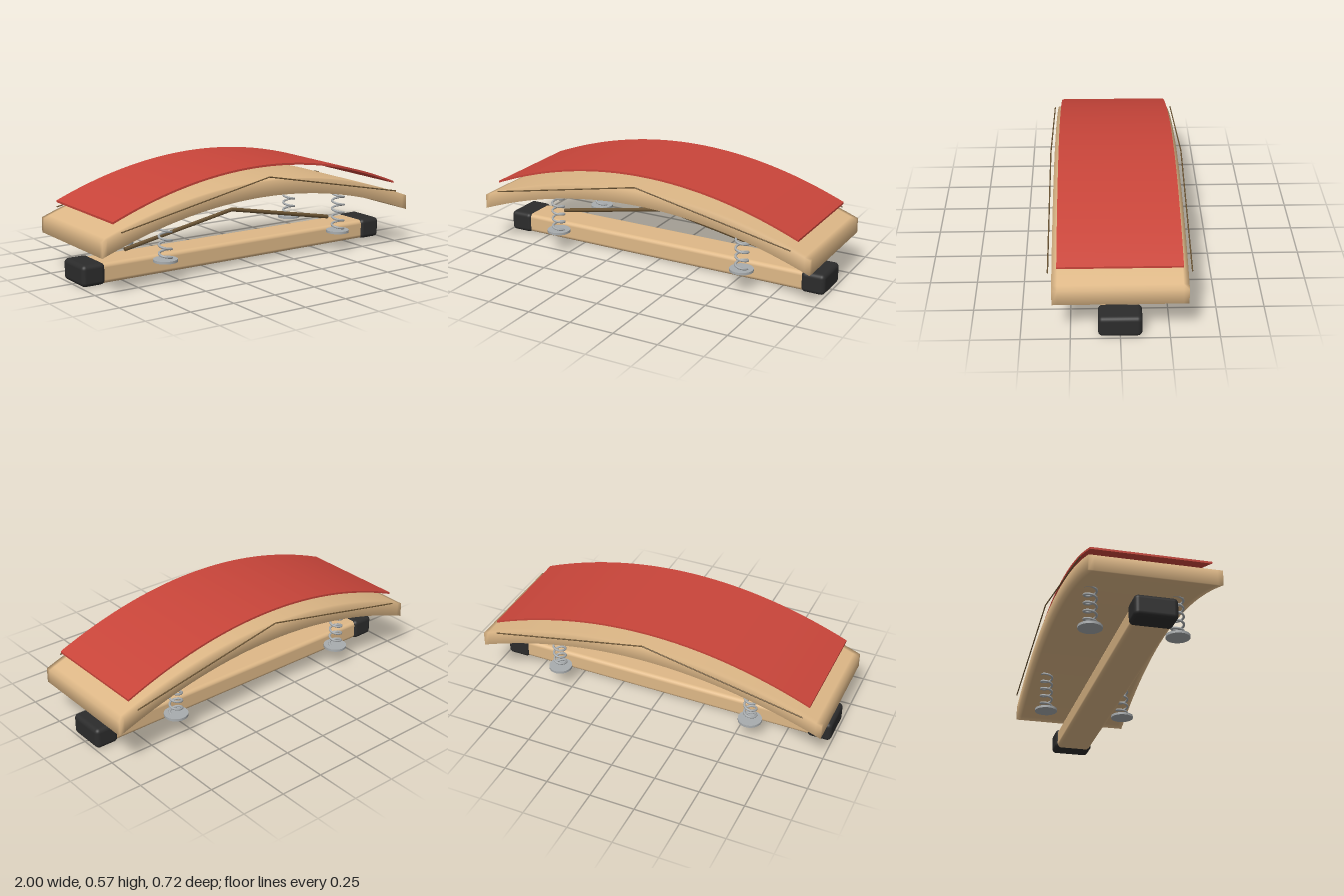
import * as THREE from 'three';
import { mergeVertices } from 'three/addons/utils/BufferGeometryUtils.js';
import { RoundedBoxGeometry } from 'three/addons/geometries/RoundedBoxGeometry.js';

const mat = (name, color) => {
  const m = new THREE.MeshStandardMaterial({ color });
  m.name = name;
  return m;
};

// Box arched along x: the middle stays up, the ends drop by sag * x^2
function archedBox(w, h, d, segY, segZ, sag, smooth) {
  let g = new THREE.BoxGeometry(w, h, d, 64, segY, segZ);
  const p = g.attributes.position;
  for (let i = 0; i < p.count; i++) p.setY(i, p.getY(i) - sag * p.getX(i) ** 2);
  if (smooth) {
    g.deleteAttribute('normal');
    g.deleteAttribute('uv');
    g = mergeVertices(g);
  }
  g.computeVertexNormals();
  return g;
}

// Coil spring path
class Helix extends THREE.Curve {
  constructor(radius, height, turns) {
    super();
    Object.assign(this, { radius, height, turns });
  }
  getPoint(t, target = new THREE.Vector3()) {
    const a = t * this.turns * Math.PI * 2;
    return target.set(this.radius * Math.cos(a), t * this.height, this.radius * Math.sin(a));
  }
}

export function createModel() {
  const model = new THREE.Group();
  const wood = mat('wood', 0xdeb887);
  const red = mat('redPad', 0xc9453a);
  const rubber = mat('blackRubber', 0x2c2c2c);
  const steel = mat('steel', 0xa8acae);
  const brown = mat('brownRod', 0x6b5433);

  const add = (name, geometry, material, x = 0, y = 0, z = 0, parent = model) => {
    const mesh = new THREE.Mesh(geometry, material);
    mesh.name = name;
    mesh.position.set(x, y, z);
    parent.add(mesh);
    return mesh;
  };

  // Arched deck and the thin pad floating above it
  add('deck', archedBox(2, 0.082, 0.676, 1, 24, 0.194, true), wood, 0, 0.446, 0);
  add('pad', archedBox(1.844, 0.011, 0.624, 1, 1, 0.225, false), red, 0, 0.567, 0);

  // Ground beam with rubber end caps
  add('beam', new RoundedBoxGeometry(1.9, 0.108, 0.2, 4, 0.022), wood, 0, 0.059, 0);
  for (const s of [-1, 1]) {
    add('endCap', new RoundedBoxGeometry(0.134, 0.116, 0.222, 4, 0.024), rubber, s * 0.927, 0.061, 0);
  }

  // Peaked rods: two straight halves meeting at the middle
  function peakedRod(name, halfSpan, endY, peakY, z, radius) {
    const group = new THREE.Group();
    group.name = name;
    const rise = peakY - endY;
    const length = Math.hypot(halfSpan, rise);
    for (const s of [-1, 1]) {
      const half = add('rodHalf', new THREE.CylinderGeometry(radius, radius, length, 8), brown,
        s * halfSpan / 2, (endY + peakY) / 2, z, group);
      half.rotation.z = s * Math.atan2(halfSpan, rise);
    }
    model.add(group);
  }
  peakedRod('frontRod', 0.9, 0.334, 0.514, 0.357, 0.0035);
  peakedRod('backRod', 0.9, 0.334, 0.514, -0.357, 0.0035);
  peakedRod('centreRod', 0.687, 0.142, 0.272, 0, 0.0115);

  // Four springs on round feet
  const coil = new THREE.TubeGeometry(new Helix(0.033, 0.22, 4.75), 160, 0.0065, 8);
  const foot = new THREE.CylinderGeometry(0.065, 0.065, 0.014, 32);
  for (const x of [-0.575, 0.575]) {
    for (const z of [-0.232, 0.232]) {
      add('spring', coil, steel, x, 0.127, z);
      add('springFoot', foot, steel, x, 0.118, z);
    }
  }
  return model;
}
